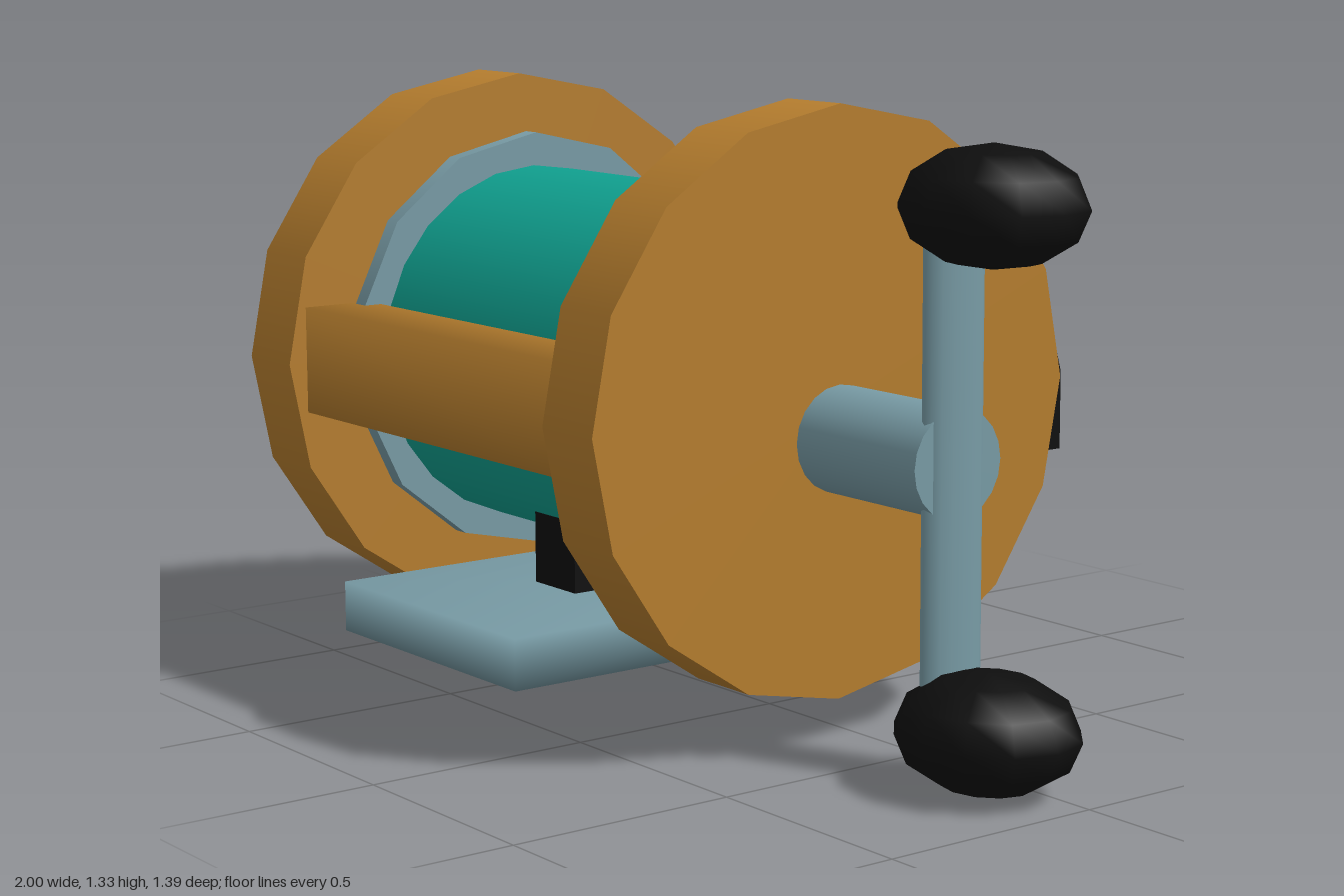
import * as THREE from 'three';
import { mergeVertices } from 'three/addons/utils/BufferGeometryUtils.js';

const CY = 0.71, CZ = 0.08; // reel axis

function paint(name, color) {
  const m = new THREE.MeshStandardMaterial({ color });
  m.name = name;
  return m;
}

// Cylinder lying along x from x0 to x1
function drumGeometry(r, x0, x1, sides) {
  const g = new THREE.CylinderGeometry(r, r, x1 - x0, sides, 1, false, Math.PI / 2);
  g.rotateZ(Math.PI / 2);
  g.translate((x0 + x1) / 2, 0, 0);
  return g;
}

// Four-sided bar along x with softly shaded sides
function barGeometry(x0, x1, height, depth) {
  const g = new THREE.CylinderGeometry(Math.SQRT1_2, Math.SQRT1_2, x1 - x0, 4, 1, false, Math.PI / 4);
  g.rotateZ(Math.PI / 2);
  g.scale(1, height, depth);
  g.translate((x0 + x1) / 2, 0, 0);
  return g;
}

// Box whose normals are averaged across its edges
function softBoxGeometry(w, h, d) {
  let g = new THREE.BoxGeometry(w, h, d);
  g.deleteAttribute('normal');
  g.deleteAttribute('uv');
  g = mergeVertices(g);
  g.computeVertexNormals();
  return g;
}

export function createModel() {
  const model = new THREE.Group();
  model.name = 'reel';
  const bronze = paint('bronze', 0xb57d2e);
  const teal = paint('teal line', 0x10a08f);
  const steel = paint('steel', 0x789ba5);
  const black = paint('black', 0x0e0e0e);

  const add = (name, geometry, material, x, y, z) => {
    const mesh = new THREE.Mesh(geometry, material);
    mesh.name = name;
    mesh.position.set(x, y, z);
    model.add(mesh);
    return mesh;
  };

  // Side plates
  add('rightSidePlate', drumGeometry(0.617, -1, -0.83, 16), bronze, 0, CY, CZ - 0.003);
  add('leftSidePlate', drumGeometry(0.617, 0.16, 0.33, 16), bronze, 0, CY, CZ - 0.003);

  // Wound spool and its flanges
  add('spool', drumGeometry(0.405, -0.78, 0.11, 24), teal, 0, 0.715, 0.077);
  add('rightFlange', drumGeometry(0.478, -0.815, -0.775, 14), steel, 0, 0.717, 0.07);
  add('leftFlange', drumGeometry(0.478, 0.105, 0.145, 14), steel, 0, 0.717, 0.07);

  // Front cross bar
  add('frontBar', barGeometry(-0.83, 0.16, 0.235, 0.16), bronze, 0, 0.717, 0.57);

  // Rear cross bar, leaning in slightly at the top
  const section = new THREE.Shape([
    [0.4, 0.55], [0.545, 0.55], [0.545, 0.72], [0.525, 0.79], [0.4, 0.79],
  ].map(([z, y]) => new THREE.Vector2(z, y)));
  const rear = new THREE.ExtrudeGeometry(section, { depth: 1.322, bevelEnabled: false });
  rear.rotateY(Math.PI / 2); // section x becomes -z, depth runs along +x
  add('rearBar', rear, black, -0.996, 0, 0);

  // Mounting foot and stem
  add('foot', softBoxGeometry(0.67, 0.11, 0.89), steel, -0.335, 0.19, 0.215);
  add('stem', new THREE.BoxGeometry(0.15, 0.16, 0.49), black, -0.335, 0.322, 0.085);

  // Crank hub, arm and two grips
  add('hub', drumGeometry(0.112, 0.12, 0.695, 20), steel, 0, 0.642, 0.077);
  const arm = new THREE.CylinderGeometry(1, 1, 1, 16);
  arm.scale(0.037, 0.96, 0.073);
  add('crankArm', arm, steel, 0.678, 0.642, 0.077);
  for (const [name, y] of [['upperGrip', 1.158], ['lowerGrip', 0.122]]) {
    const grip = new THREE.SphereGeometry(1, 12, 6);
    grip.scale(0.205, 0.122, 0.178);
    add(name, grip, black, 0.79, y, 0.077);
  }

  // Line guide ring behind the reel
  add('guideRing', new THREE.TorusGeometry(0.091, 0.021, 6, 10), steel, -0.335, 0.828, -0.677);

  return model;
}
